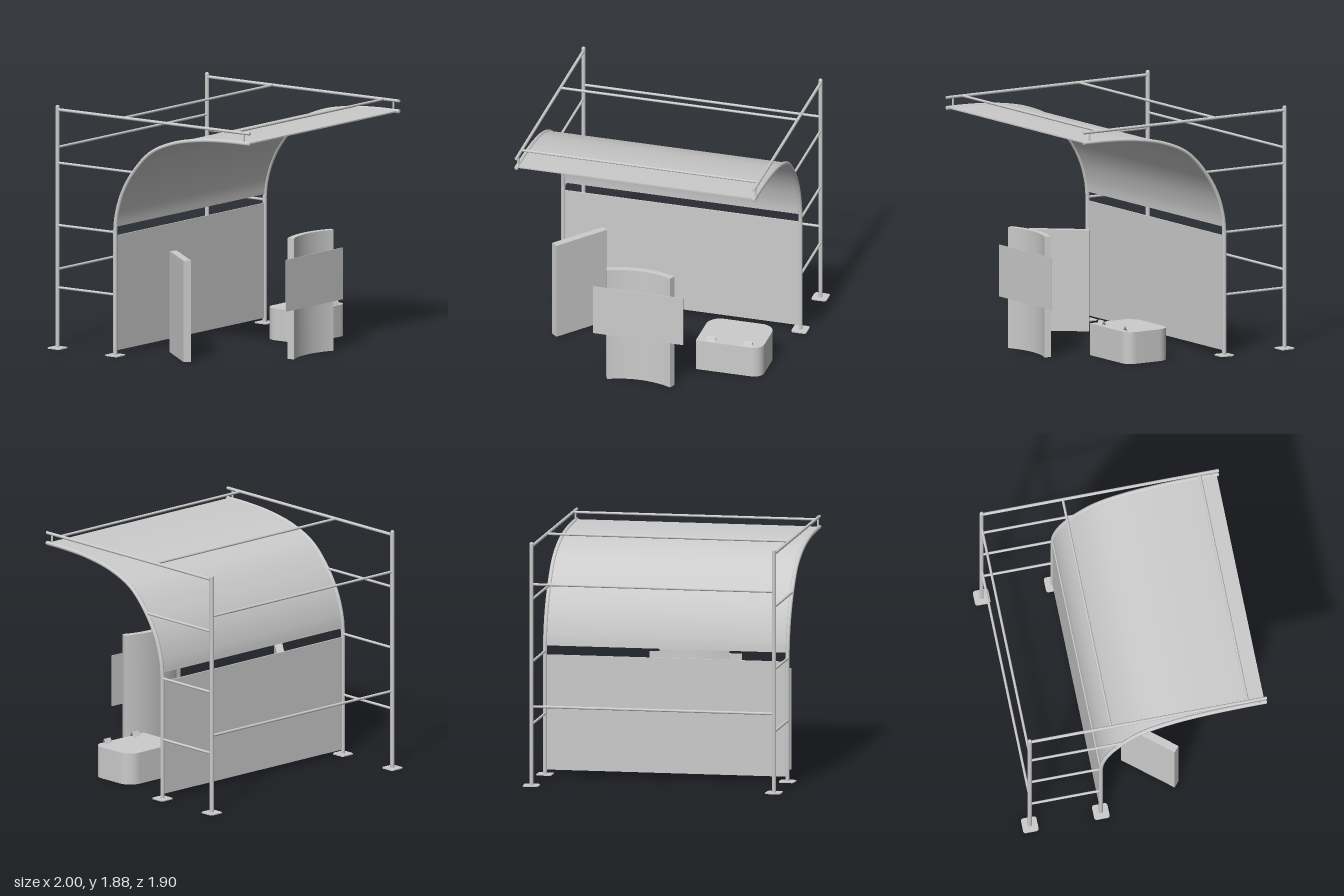
import * as THREE from 'three';
import { toCreasedNormals } from 'three/addons/utils/BufferGeometryUtils.js';

const V = (x, y, z) => new THREE.Vector3(x, y, z);

export function createModel() {
  const model = new THREE.Group();
  const grey = new THREE.MeshStandardMaterial({ color: 0xcccccc });
  const thin = new THREE.MeshStandardMaterial({ color: 0xcccccc, side: THREE.DoubleSide });

  function add(name, geometry, x = 0, y = 0, z = 0, material = grey) {
    const mesh = new THREE.Mesh(geometry, material);
    mesh.name = name;
    mesh.position.set(x, y, z);
    model.add(mesh);
    return mesh;
  }

  // Straight round bar between two points
  function bar(name, a, b, r) {
    const mesh = add(name, new THREE.CylinderGeometry(r, r, a.distanceTo(b), 20));
    mesh.position.copy(a).add(b).multiplyScalar(0.5);
    mesh.quaternion.setFromUnitVectors(V(0, 1, 0), b.clone().sub(a).normalize());
  }

  // Floor-plan outline (x, -z) raised to a height
  function raise(shape, height) {
    const g = new THREE.ExtrudeGeometry(shape, { depth: height, bevelEnabled: false, curveSegments: 24 });
    return toCreasedNormals(g.rotateX(-Math.PI / 2), 0.5);
  }

  // Plan rectangle with its own radius at each corner
  function roundedPlan(x0, y0, x1, y1, [bl, br, tr, tl]) {
    const s = new THREE.Shape();
    s.moveTo(x0 + bl, y0);
    s.lineTo(x1 - br, y0);
    s.absarc(x1 - br, y0 + br, br, -Math.PI / 2, 0);
    s.lineTo(x1, y1 - tr);
    s.absarc(x1 - tr, y1 - tr, tr, 0, Math.PI / 2);
    s.lineTo(x0 + tl, y1);
    s.absarc(x0 + tl, y1 - tl, tl, Math.PI / 2, Math.PI);
    s.lineTo(x0, y0 + bl);
    s.absarc(x0 + bl, y0 + bl, bl, Math.PI, Math.PI * 1.5);
    return s;
  }

  const X = 0.938, REAR = -0.888, FRONT = -0.338, TOP = 1.84;

  // Side line of the arch, from the top of the upright to the front edge
  const arch = new THREE.CatmullRomCurve3([
    [0.96, -0.338], [1.08, -0.325], [1.25, -0.272], [1.42, -0.17], [1.593, 0.0],
    [1.69, 0.22], [1.74, 0.48], [1.757, 0.72], [1.76, 0.945],
  ].map(([y, z]) => V(0, y, z)), false, 'centripetal');

  // Side frames
  const plate = raise(roundedPlan(-0.06, -0.06, 0.06, 0.06, [0.02, 0.02, 0.02, 0.02]), 0.008);
  for (const s of [-1, 1]) {
    const x = s * X;
    for (const z of [REAR, FRONT]) add('basePlate', plate, x, 0, z);
    bar('rearPost', V(x, 0, REAR), V(x, 1.86, REAR), 0.016);
    add('rearPostCap', new THREE.SphereGeometry(0.016, 20, 12), x, 1.86, REAR);
    bar('archUpright', V(x, 0, FRONT), V(x, 0.96, FRONT), 0.016);
    add('archTube', new THREE.TubeGeometry(arch, 64, 0.016, 16), x);
    add('archTubeEnd', new THREE.SphereGeometry(0.016, 16, 12).scale(1, 1, 0.3), x, 1.76, 0.945);
    bar('topRail', V(x, TOP, REAR), V(x, TOP, 0.948), 0.012);
    bar('railConnector', V(x, 1.76, 0.89), V(x, TOP, 0.89), 0.008);
    for (const [y, z] of [[0.47, FRONT], [0.95, FRONT], [1.43, -0.165]]) {
      bar('sideRung', V(x, y, REAR), V(x, y, z), 0.01);
    }
  }

  // Cross bars between the side frames
  for (const [y, z] of [[0.61, REAR], [1.55, REAR], [TOP, -0.26], [TOP, 0.8]]) {
    bar('crossBar', V(-X, y, z), V(X, y, z), 0.01);
  }

  // Curved canopy sheet, offset to both sides of the arch line
  const outer = [], inner = [];
  for (let i = 0; i <= 60; i++) {
    const t = 0.02 + 0.972 * i / 60;
    const p = arch.getPointAt(t), d = arch.getTangentAt(t);
    outer.push(new THREE.Vector2(p.z - d.y * 0.005, p.y + d.z * 0.005));
    inner.unshift(new THREE.Vector2(p.z + d.y * 0.005, p.y - d.z * 0.005));
  }
  const sheet = new THREE.ExtrudeGeometry(new THREE.Shape([...outer, ...inner]), { depth: 1.86, bevelEnabled: false });
  add('canopy', toCreasedNormals(sheet.translate(0, 0, -0.93).rotateY(-Math.PI / 2), 0.5));

  // Flat back wall
  add('backPanel', new THREE.BoxGeometry(1.86, 0.885, 0.01), 0, 0.4825, FRONT);

  // Curved front stand, hollow towards the front, with a flat board on it
  const half = Math.asin(0.27 / 0.638), R = 0.638, cz = 0.74 + R;
  const stand = new THREE.Shape();
  stand.absarc(0, -cz, R, Math.PI / 2 - half, Math.PI / 2 + half, false);
  stand.absarc(0, -cz, R - 0.05, Math.PI / 2 + half * 1.0, Math.PI / 2 - half, true);
  stand.closePath();
  add('frontStand', raise(stand, 0.932));
  add('frontBoard', new THREE.BoxGeometry(0.715, 0.4, 0.004), -0.002, 0.582, 0.85);

  // Turned upright slab
  const slab = new THREE.Shape([[-0.81, -0.29], [-0.855, -0.25], [-0.56, 0.105], [-0.515, 0.07]]
    .map(([x, y]) => new THREE.Vector2(x, y)));
  add('sideStand', raise(slab, 0.78));

  // Low bench with rounded corners
  add('bench', raise(roundedPlan(0.352, -0.5, 0.872, -0.1, [0.008, 0.08, 0.11, 0.11]), 0.245));

  // Folded cards on the bench
  for (const x of [0.467, 0.758]) {
    for (const s of [-1, 1]) {
      const leaf = add('foldedCard', new THREE.PlaneGeometry(0.068, 0.045), x, 0.264, 0.47 + s * 0.011, thin);
      leaf.rotation.x = -s * Math.atan2(0.022, 0.039);
    }
  }
  return model;
}
